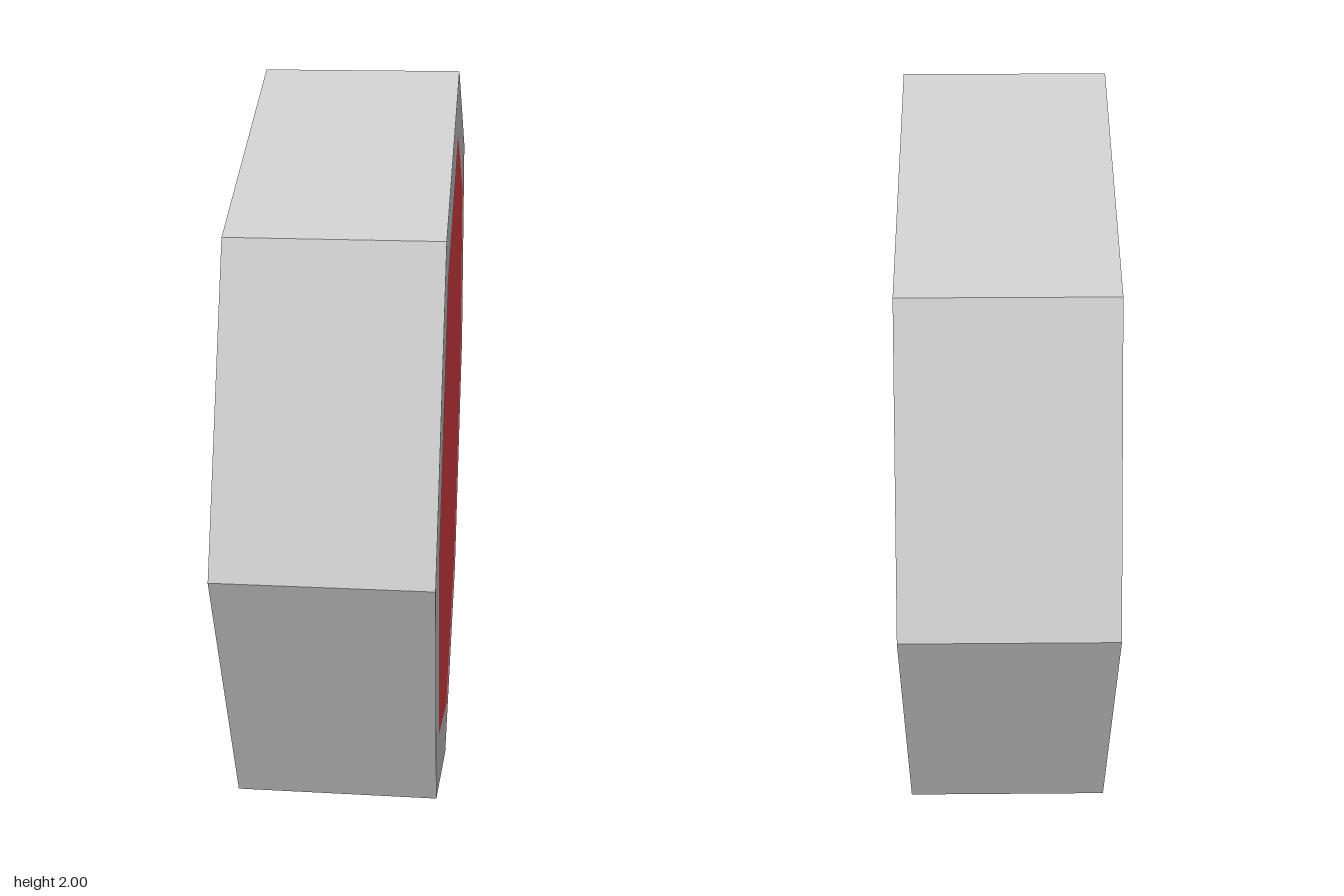
import * as THREE from 'three';

const SIDES = 8, RADIUS = 1, INSET = 0.837, HALF = 0.25;

export function createModel() {
  const group = new THREE.Group();
  const grey = new THREE.MeshStandardMaterial({ color: 0xcccccc, flatShading: true });
  const red = new THREE.MeshStandardMaterial({ color: 0xe74146 });

  // Octagonal rim: outer band with a flat border on each side, axis along x
  const profile = [[INSET, -HALF], [RADIUS, -HALF], [RADIUS, HALF], [INSET, HALF]]
    .map(([r, y]) => new THREE.Vector2(r, y));
  const rimGeometry = new THREE.LatheGeometry(profile, SIDES).toNonIndexed();
  rimGeometry.computeVertexNormals();
  rimGeometry.rotateZ(Math.PI / 2);
  const rim = new THREE.Mesh(rimGeometry, grey);
  rim.name = 'rim';
  rim.position.y = RADIUS;
  group.add(rim);

  // Red panels flush with the border, one on each side
  for (const side of [1, -1]) {
    const panel = new THREE.Mesh(new THREE.CircleGeometry(INSET, SIDES), red);
    panel.name = side > 0 ? 'leftPanel' : 'rightPanel';
    panel.rotation.y = side * Math.PI / 2;
    panel.position.set(side * HALF, RADIUS, 0);
    group.add(panel);
  }
  return group;
}
